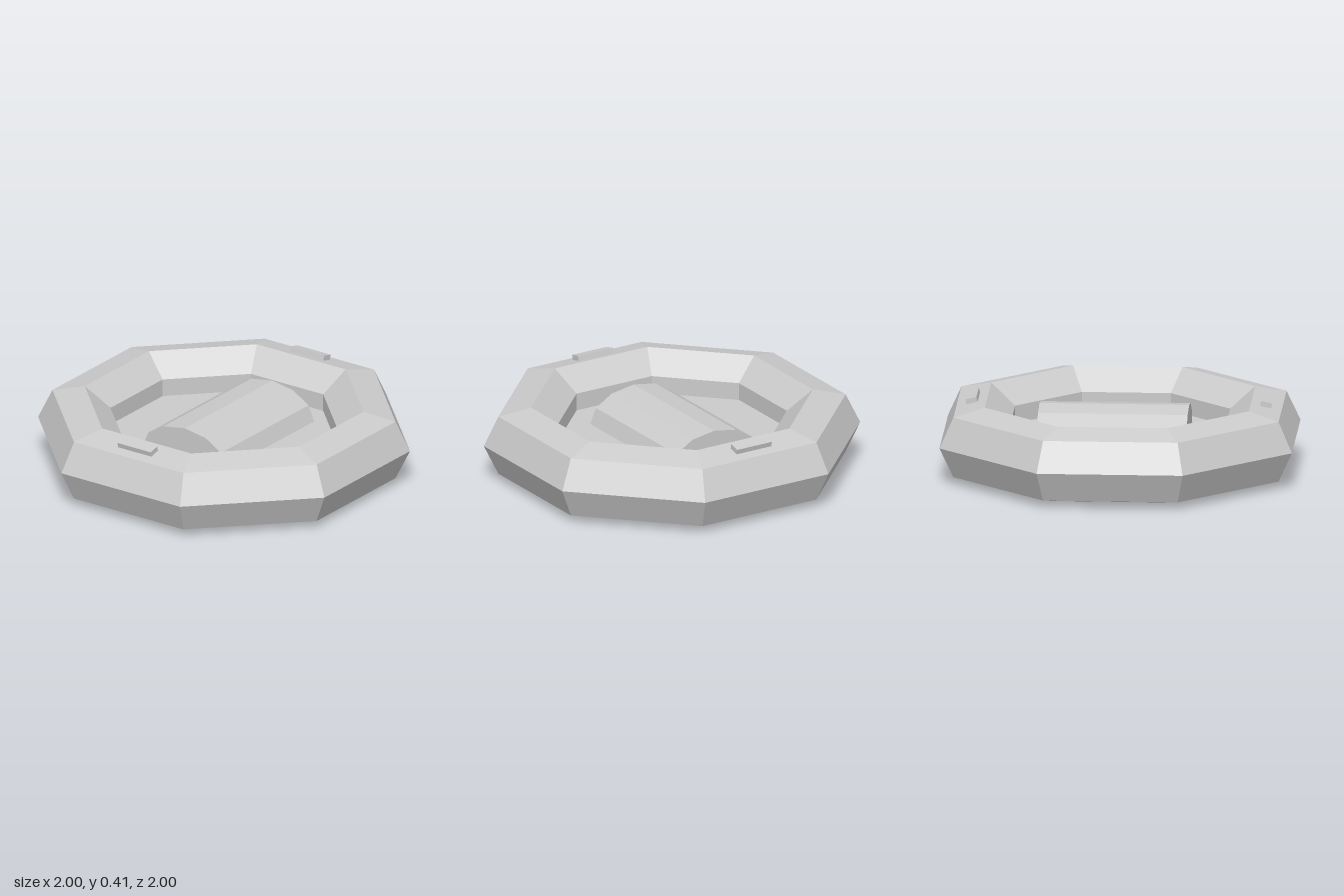
import * as THREE from 'three';

const TURN = -Math.PI / 8; // the cushion and grips follow the octagon's edges

export function createModel() {
  const group = new THREE.Group();
  const material = new THREE.MeshStandardMaterial({ color: 0xcccccc, flatShading: true });

  function add(name, geometry, x = 0, y = 0, z = 0) {
    const mesh = new THREE.Mesh(geometry, material);
    mesh.name = name;
    mesh.position.set(x, y, z);
    group.add(mesh);
    return mesh;
  }

  // Inflated eight-sided ring with a seven-sided tube
  const tube = 0.205;
  add('ring', new THREE.TorusGeometry(1 - tube, tube, 7, 8).rotateX(-Math.PI / 2), 0, 0.2, 0);

  // Thin floor, its rim hidden in the ring
  add('floor', new THREE.CylinderGeometry(0.63, 0.63, 0.01, 8), 0, 0.19, 0);

  // Flattened half-round cushion lying on the floor
  const cushion = new THREE.CylinderGeometry(0.27, 0.27, 0.785, 6, 1, false, Math.PI / 2, Math.PI)
    .rotateX(Math.PI / 2)
    .scale(1, 0.61, 1);
  add('cushion', cushion, 0.018, 0.195, -0.025).rotation.y = TURN;

  // Two grips on opposite edges, tilted with the ring's upper face
  for (const angle of [TURN, TURN + Math.PI]) {
    const grip = add('grip', new THREE.BoxGeometry(0.215, 0.05, 0.06),
      0.77 * Math.sin(angle), 0.383, 0.77 * Math.cos(angle));
    grip.rotation.set(0.23, angle, 0, 'YXZ');
  }

  return group;
}
